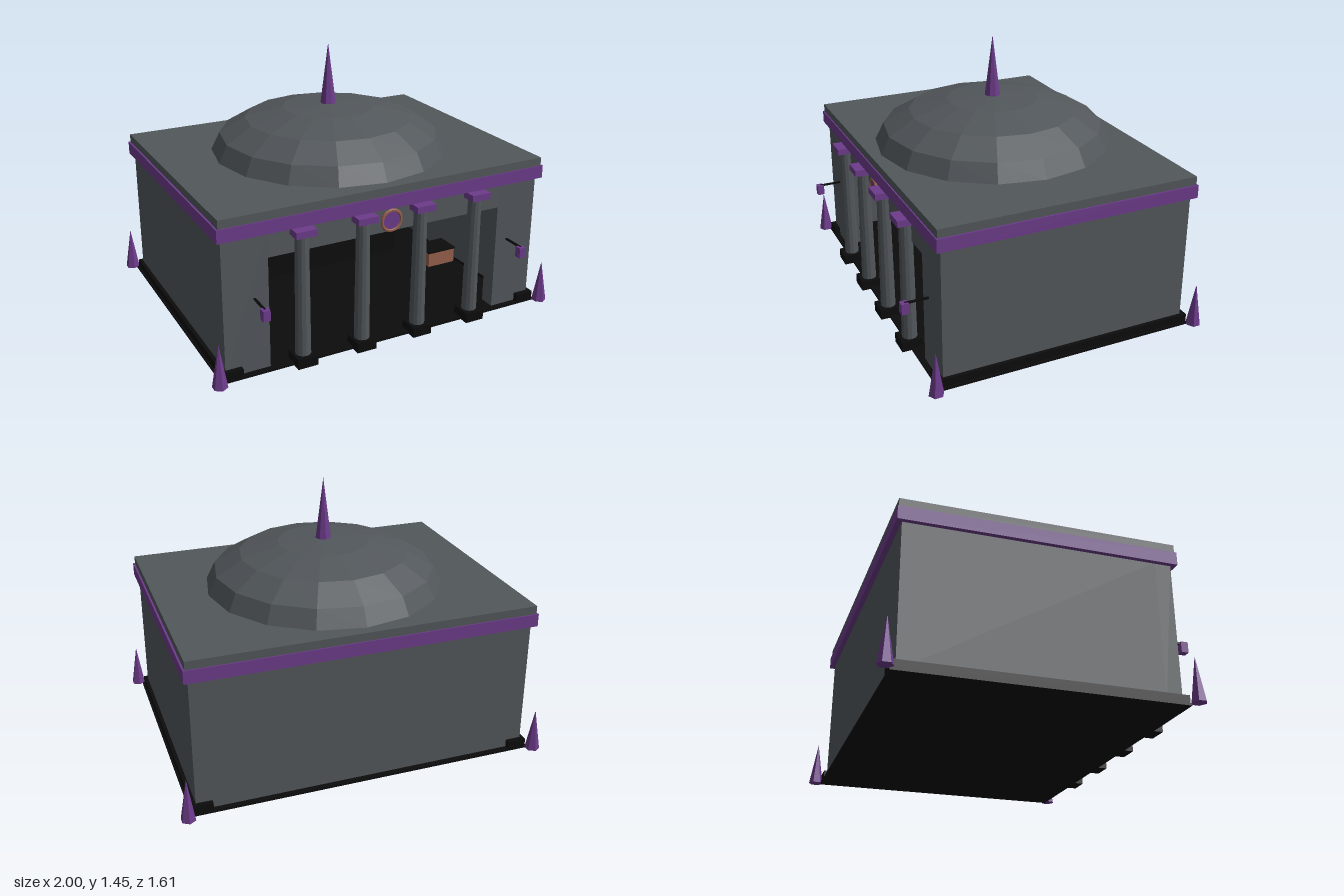
import * as THREE from 'three';

const mat = (name, color, flatShading = false) => {
  const m = new THREE.MeshStandardMaterial({ color });
  m.name = name;
  m.flatShading = flatShading;
  return m;
};

export function createModel() {
  const stone = mat('grey stone', 0x52575b, true);
  const purple = mat('purple trim', 0x6c3b8a, true);
  const black = mat('black iron', 0x0c0c0c, true);
  const copper = mat('copper brown', 0x965f4c, true);

  const model = new THREE.Group();
  model.name = 'domedBank';
  const ZC = -0.025; // centre of the building in z

  const add = (name, geo, material, x = 0, y = 0, z = 0, parent = model) => {
    const mesh = new THREE.Mesh(geo, material);
    mesh.name = name;
    mesh.position.set(x, y, z);
    parent.add(mesh);
    return mesh;
  };
  // Box given by its lower and upper limits
  const box = (name, material, x0, x1, y0, y1, z0, z1, parent = model) =>
    add(name, new THREE.BoxGeometry(x1 - x0, y1 - y0, z1 - z0), material,
      (x0 + x1) / 2, (y0 + y1) / 2, (z0 + z1) / 2, parent);
  // The same box on both sides of x = 0
  const pair = (name, material, x0, x1, ...rest) => {
    box(name + 'Left', material, x0, x1, ...rest);
    box(name + 'Right', material, -x1, -x0, ...rest);
  };
  // Disc facing +z, centred on its own depth
  const disc = (name, material, r, depth, x, y, z, sides = 24) =>
    add(name, new THREE.CylinderGeometry(r, r, depth, sides).rotateX(Math.PI / 2),
      material, x, y, z);

  // Floor and side plinths
  box('floor', black, -0.945, 0.945, 0, 0.012, -0.74, 0.69);
  pair('plinth', black, 0.83, 0.935, 0.012, 0.055, -0.738, 0.688);

  // Hollow shell with a wide front opening
  pair('sideWall', stone, 0.83, 0.915, 0.012, 0.75, -0.71, 0.575);
  pair('frontPier', stone, 0.675, 0.915, 0.012, 0.75, 0.575, 0.66);
  box('lintel', stone, -0.675, 0.675, 0.61, 0.75, 0.575, 0.66);
  box('backWall', stone, -0.83, 0.83, 0.012, 0.75, -0.71, -0.63);
  box('ceiling', stone, -0.83, 0.83, 0.735, 0.75, -0.63, 0.575);

  // Cornice and roof
  box('cornice', purple, -0.94, 0.94, 0.745, 0.815, -0.737, 0.687);
  box('roofSlab', stone, -0.93, 0.93, 0.815, 0.86, -0.73, 0.68);
  const dome = new THREE.SphereGeometry(0.652, 16, 4, 0, Math.PI * 2, 0, Math.PI / 2);
  dome.scale(1, 0.4, 1);
  add('dome', dome, stone, 0, 0.855, ZC);
  add('spire', new THREE.ConeGeometry(0.045, 0.34, 8), purple, 0, 1.275, ZC);

  // Corner spikes
  for (const sx of [-1, 1]) for (const sz of [-1, 1])
    add('cornerSpike', new THREE.ConeGeometry(0.04, 0.235, 6), purple,
      sx * 0.965, 0.127, ZC + sz * 0.74);

  // Front columns
  for (const x of [-0.505, -0.168, 0.168, 0.505]) {
    const column = new THREE.Group();
    column.name = 'column';
    column.position.set(x, 0, 0.68);
    model.add(column);
    box('columnBase', black, -0.055, 0.055, 0, 0.055, -0.055, 0.06, column);
    add('columnShaft', new THREE.CylinderGeometry(0.035, 0.041, 0.66, 12), stone, 0, 0.385, 0, column);
    box('capital', purple, -0.056, 0.056, 0.71, 0.745, -0.055, 0.06, column);
  }

  // Round medallion over the entrance
  disc('medallion', purple, 0.055, 0.02, 0, 0.675, 0.667);
  add('medallionRing', new THREE.TorusGeometry(0.055, 0.009, 6, 20), copper, 0, 0.675, 0.675);

  // Outside lanterns on brackets, and inside wall lamps
  pair('lanternArm', black, 0.745, 0.755, 0.403, 0.413, 0.66, 0.785);
  pair('lantern', purple, 0.73, 0.768, 0.355, 0.412, 0.767, 0.805);
  pair('wallLamp', purple, 0.32, 0.35, 0.485, 0.54, -0.63, -0.6);

  // Vault door on the back wall
  const vy = 0.335;
  disc('vaultFrame', black, 0.185, 0.04, 0, vy, -0.61);
  disc('vaultDoor', purple, 0.152, 0.05, 0, vy, -0.585);
  for (let i = 0; i < 8; i++) {
    const a = i * Math.PI / 4;
    disc('vaultBolt', stone, 0.01, 0.02, Math.cos(a) * 0.17, vy + Math.sin(a) * 0.17, -0.585, 8);
  }
  for (let i = 0; i < 4; i++) {
    const length = i === 0 ? 0.23 : 0.19;
    add('wheelSpoke', new THREE.BoxGeometry(length, 0.014, 0.014), black, 0, vy, -0.55)
      .rotation.z = i * Math.PI / 4;
  }
  disc('wheelHub', purple, 0.025, 0.03, 0, vy, -0.54, 12);

  // Teller counter with railings
  box('counter', black, -0.575, 0.575, 0.012, 0.173, -0.36, -0.22);
  box('counterTop', purple, -0.62, 0.62, 0.173, 0.19, -0.38, -0.2);
  pair('railTop', black, 0.17, 0.585, 0.308, 0.32, -0.296, -0.284);
  pair('railMiddle', black, 0.13, 0.33, 0.238, 0.25, -0.296, -0.284);
  for (const x of [0.18, 0.285, 0.57])
    pair('railPost', black, x - 0.006, x + 0.006, 0.19, 0.31, -0.296, -0.284);

  // Desk with papers, and a bench
  box('desk', copper, -0.82, -0.545, 0.012, 0.14, -0.05, 0.09);
  box('deskPapers', stone, -0.72, -0.63, 0.14, 0.147, -0.01, 0.05);
  box('bench', copper, 0.63, 0.81, 0.012, 0.1, -0.05, 0.09);
  box('benchSeat', black, 0.625, 0.815, 0.1, 0.109, -0.055, 0.095);

  return model;
}
